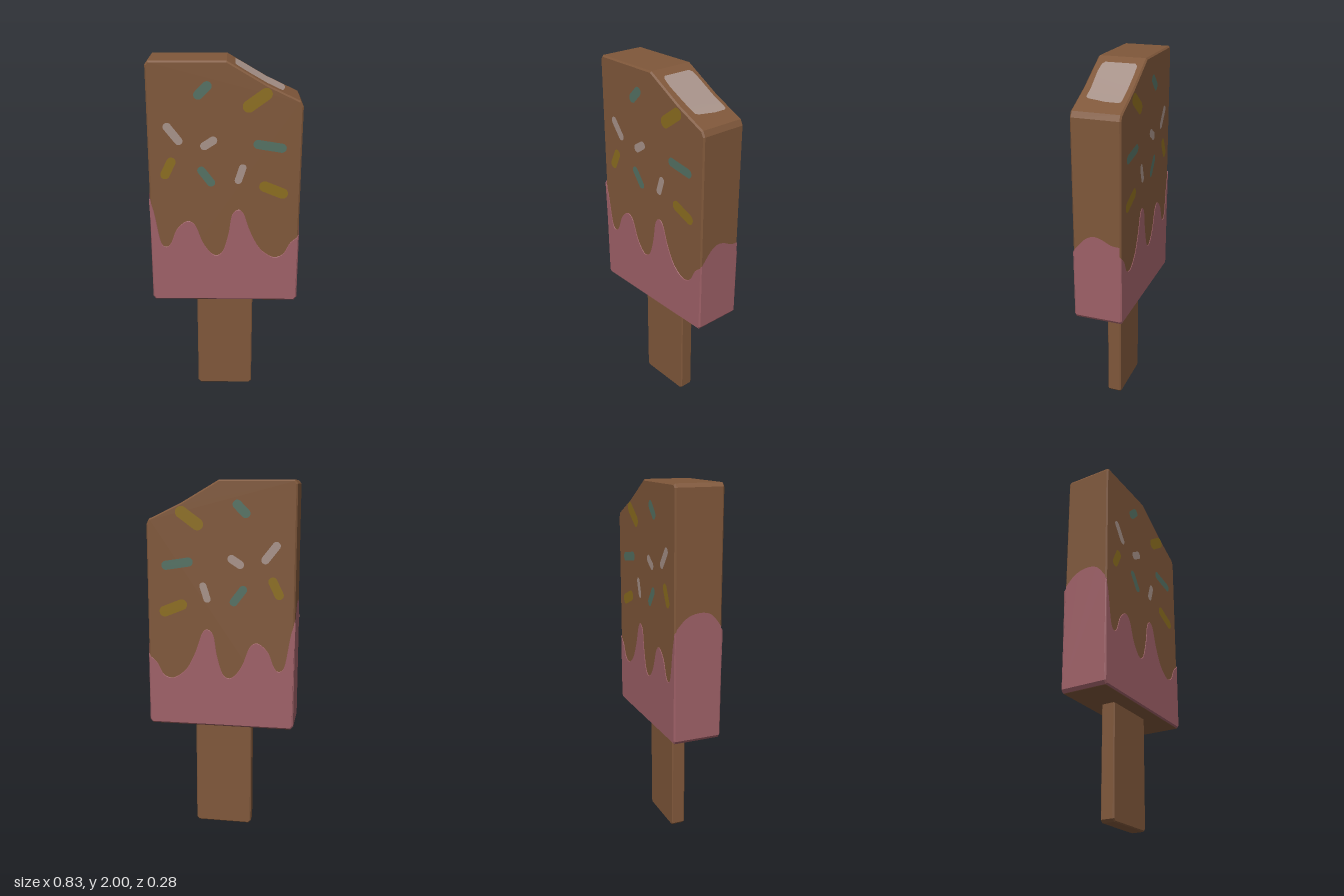
import * as THREE from 'three';

const mat = (name, color, extra = {}) => {
  const m = new THREE.MeshStandardMaterial({ color, ...extra });
  m.name = name;
  return m;
};

const shapeOf = (pts) => new THREE.Shape(pts.map(([x, y]) => new THREE.Vector2(x, y)));

// Outline extruded to a slab centred on z, with a small chamfer kept inside the outline
function slab(pts, halfDepth, bevel = 0.008) {
  const g = new THREE.ExtrudeGeometry(shapeOf(pts), {
    depth: 2 * (halfDepth - bevel), bevelEnabled: true, bevelSegments: 1,
    bevelThickness: bevel, bevelSize: bevel, bevelOffset: -bevel,
  });
  return g.translate(0, 0, -(halfDepth - bevel));
}

// Smooth curve through a few points
const smooth = (pts, n) =>
  new THREE.SplineCurve(pts.map(([x, y]) => new THREE.Vector2(x, y))).getPoints(n).map((p) => [p.x, p.y]);

// Pill outline for a sprinkle
function pill(length, width) {
  const r = width / 2, h = length / 2 - r;
  const s = new THREE.Shape();
  s.absarc(h, 0, r, -Math.PI / 2, Math.PI / 2);
  s.absarc(-h, 0, r, Math.PI / 2, Math.PI * 1.5);
  return s;
}

export function createModel() {
  const root = new THREE.Group();
  root.name = 'iceLolly';
  const chocolate = mat('chocolate', 0x7f573a);
  const pink = mat('pinkIcing', 0x9e6067, { side: THREE.DoubleSide });
  const pale = mat('paleSugar', 0xa69188, { side: THREE.DoubleSide });
  const teal = mat('tealSugar', 0x547062);
  const yellow = mat('yellowSugar', 0x8b6d1f);

  const add = (name, geometry, material, parent = root) => {
    const m = new THREE.Mesh(geometry, material);
    m.name = name;
    parent.add(m);
    return m;
  };

  // Chocolate body with a slanted, slightly hollow corner
  add('body', slab([
    [-0.395, 0.635], [0.395, 0.635], [0.41, 0.655], [0.41, 1.765], [0.395, 1.795],
    [0.22, 1.878], [0.01, 2], [-0.395, 2], [-0.41, 1.98], [-0.41, 0.655],
  ], 0.135), chocolate);

  // Stick
  add('stick', slab([
    [-0.15, 0], [0.147, 0], [0.162, 0.015], [0.162, 0.66], [-0.165, 0.66], [-0.165, 0.015],
  ], 0.04, 0.006), chocolate);

  // Pink icing wrapped round the lower half, with a dripping upper edge
  const drip = smooth([
    [0.412, 1.045], [0.36, 1], [0.325, 0.935], [0.28, 0.915], [0.235, 0.935], [0.19, 0.98],
    [0.145, 1.07], [0.11, 1.17], [0.075, 1.2], [0.035, 1.165], [0.015, 1.05], [-0.015, 0.95],
    [-0.05, 0.925], [-0.085, 0.95], [-0.12, 1.005], [-0.16, 1.105], [-0.21, 1.13], [-0.27, 1.08],
    [-0.305, 0.995], [-0.33, 0.975], [-0.355, 1.01], [-0.385, 1.18], [-0.412, 1.26],
  ], 90);
  add('icing', slab([[-0.412, 0.655], [-0.399, 0.637], [0.399, 0.637], [0.412, 0.655], ...drip], 0.1375), pink);

  // Icing on the two narrow sides, outlined in z and y
  const sideEdges = {
    leftSideIcing: [0.4135, [[-0.127, 1.1], [-0.08, 1.105], [-0.03, 1.13], [0.02, 1.14], [0.07, 1.115], [0.127, 1.05]]],
    rightSideIcing: [-0.4135, [[-0.127, 1.27], [-0.08, 1.32], [-0.03, 1.345], [0.03, 1.35], [0.08, 1.33], [0.127, 1.27]]],
  };
  for (const [name, [x, edge]] of Object.entries(sideEdges)) {
    const g = new THREE.ShapeGeometry(shapeOf([[0.127, 0.655], [-0.127, 0.655], ...smooth(edge, 20)]
      .map(([z, y]) => [-Math.sign(x) * z, y])));
    add(name, g.rotateY(Math.sign(x) * Math.PI / 2).translate(x, 0, 0), pink);
  }

  // Sprinkles on both faces: x, y, length, width, angle in degrees, colour
  const sprinkles = [
    [-0.115, 1.85, 0.115, 0.05, 45, teal],
    [0.17, 1.8, 0.175, 0.065, 36, yellow],
    [-0.275, 1.62, 0.14, 0.045, -52, pale],
    [-0.085, 1.57, 0.1, 0.045, 33, pale],
    [-0.305, 1.43, 0.13, 0.05, 64, yellow],
    [-0.1, 1.385, 0.13, 0.045, -53, teal],
    [0.085, 1.4, 0.115, 0.04, 72, pale],
    [0.24, 1.555, 0.178, 0.05, -9, teal],
    [0.265, 1.31, 0.165, 0.06, -22, yellow],
  ];
  for (const side of [1, -1]) {
    const group = new THREE.Group();
    group.name = side > 0 ? 'frontSprinkles' : 'backSprinkles';
    if (side < 0) group.rotation.y = Math.PI;
    root.add(group);
    for (const [x, y, length, width, deg, material] of sprinkles) {
      const m = add('sprinkle', new THREE.ShapeGeometry(pill(length, width), 6), material, group);
      m.position.set(side * x, y, 0.1375);
      m.rotation.z = side * THREE.MathUtils.degToRad(deg);
    }
  }

  // Pale patch following the slanted corner: x, back z, front z
  const columns = [
    [0.055, -0.085, 0.08], [0.07, -0.1, 0.093], [0.12, -0.103, 0.098], [0.22, -0.103, 0.092],
    [0.295, -0.103, 0.09], [0.305, -0.102, 0.075], [0.313, -0.1, 0.02], [0.32, -0.09, -0.02],
  ];
  const slopeY = (x) => (x < 0.22 ? 2 - (x - 0.01) * 0.581 : 1.878 - (x - 0.22) * 0.474) + 0.003;
  const position = [], index = [];
  columns.forEach(([x, z0, z1], i) => {
    position.push(x, slopeY(x), z0, x, slopeY(x), z1);
    const a = 2 * i;
    if (i < columns.length - 1) index.push(a, a + 1, a + 2, a + 1, a + 3, a + 2);
  });
  const patch = new THREE.BufferGeometry();
  patch.setAttribute('position', new THREE.Float32BufferAttribute(position, 3));
  patch.setIndex(index);
  patch.computeVertexNormals();
  add('cornerPatch', patch, pale);

  return root;
}
